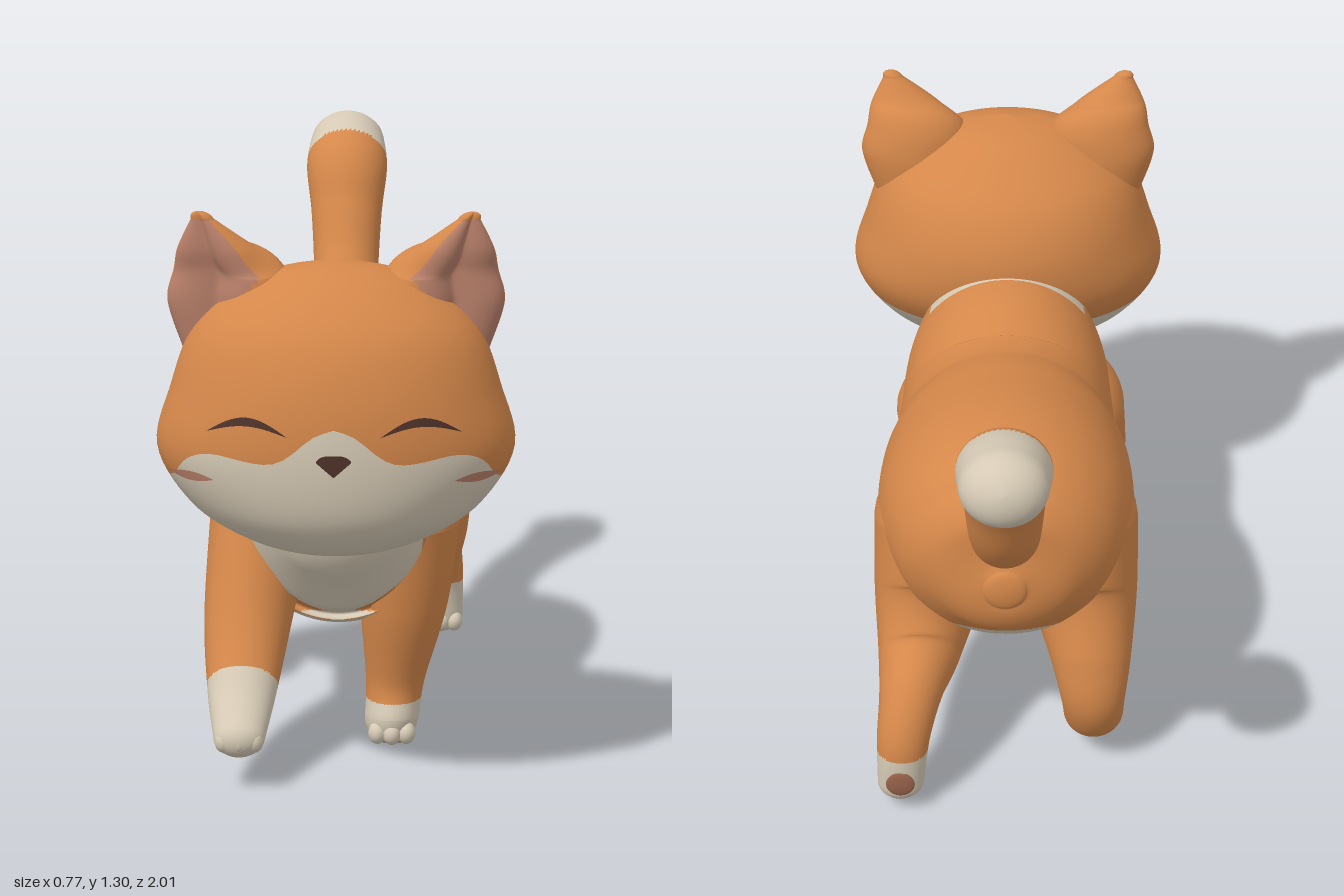
import * as THREE from 'three';

const flat = (name, color) => Object.assign(new THREE.MeshStandardMaterial({ color }), { name });
const orange = flat('orange fur', 0xd4874a);
const cream = flat('cream fur', 0xd6cab5);
const pink = flat('inner ear pink', 0xb9806a);
const dark = flat('dark brown', 0x4e332a);
const brown = flat('paw pad brown', 0x96614a);

// Smooth interpolation through rows of numbers, s from 0 to 1
function spline(rows, s) {
  const n = rows.length - 1;
  const f = THREE.MathUtils.clamp(s, 0, 1) * n;
  const i = Math.min(Math.floor(f), n - 1);
  const t = f - i;
  const p = (k) => rows[THREE.MathUtils.clamp(i + k, 0, n)];
  return rows[0].map((_, c) => {
    const [a, b, d, e] = [p(-1)[c], p(0)[c], p(1)[c], p(2)[c]];
    return b + 0.5 * t * (d - a + t * (2 * a - 5 * b + 4 * d - e + t * (3 * (b - d) + e - a)));
  });
}

// Parameter s at which the rising first column reaches v
function paramAt(rows, v) {
  let lo = 0, hi = 1;
  for (let k = 0; k < 24; k++) {
    const mid = (lo + hi) / 2;
    if (spline(rows, mid)[0] < v) lo = mid; else hi = mid;
  }
  return lo;
}
const rowAt = (rows, v) => spline(rows, paramAt(rows, v));

// Smooth skin over closed rings; pick(centre, ring, step) chooses the material of a triangle
function skin(name, rings, mats, pick) {
  const n = rings[0].length;
  const points = rings.flat();
  const lists = mats.map(() => []);
  const add = (j, i, ...tri) => {
    const c = new THREE.Vector3();
    tri.forEach((k) => c.addScaledVector(points[k], 1 / 3));
    lists[pick(c, j, i)].push(...tri);
  };
  for (let j = 0; j < rings.length - 1; j++) {
    for (let i = 0; i < n; i++) {
      const a = j * n + i, b = j * n + (i + 1) % n;
      add(j, i, a, b, b + n);
      add(j, i, a, b + n, a + n);
    }
  }
  const geo = new THREE.BufferGeometry().setFromPoints(points);
  geo.setIndex(lists.flat());
  let start = 0;
  lists.forEach((list, m) => {
    geo.addGroup(start, list.length, m);
    start += list.length;
  });
  geo.computeVertexNormals();
  const mesh = new THREE.Mesh(geo, mats);
  mesh.name = name;
  return mesh;
}

// Round-ended tube through rows of [x, y, z, radius across, other radius]
function limb(name, rows, mats, pick, { cap = 1, shape = () => 1, n = 90, seg = 56 } = {}) {
  const X = new THREE.Vector3(1, 0, 0);
  const rings = [];
  for (let k = -7; k <= n + 7; k++) {
    const s = THREE.MathUtils.clamp(k / n, 0, 1);
    const phi = (k < 0 ? k / 7 : k > n ? (k - n) / 7 : 0) * Math.PI / 2;
    const [x, y, z, rx, rn] = spline(rows, s);
    const T = new THREE.Vector3(...spline(rows, s + 0.01)).sub(new THREE.Vector3(...spline(rows, s - 0.01))).normalize();
    const N = T.clone().cross(X).normalize();
    const c = new THREE.Vector3(x, y, z).addScaledVector(T, Math.sin(phi) * Math.min(rx, rn) * cap);
    const ring = [];
    for (let i = 0; i < seg; i++) {
      const a = i / seg * Math.PI * 2;
      const r = Math.cos(phi) * shape(a);
      ring.push(c.clone().addScaledVector(X, Math.cos(a) * rx * r).addScaledVector(N, Math.sin(a) * rn * r));
    }
    rings.push(ring);
  }
  return skin(name, rings, mats, pick);
}

// Head outline: [y, half width, back z, front z]
const HZ = 0.73;
const headRows = [
  [0.54, 0, HZ, HZ], [0.55, 0.11, 0.65, 0.85], [0.58, 0.21, 0.6, 0.92], [0.65, 0.315, 0.53, 0.978], [0.77, 0.385, 0.44, 1],
  [0.9, 0.355, 0.42, 0.992], [1.02, 0.31, 0.465, 0.95], [1.1, 0.23, 0.55, 0.88], [1.15, 0.13, 0.63, 0.805], [1.172, 0, HZ, HZ],
];
// Edge of the cream muzzle: [angle from the front, y]
const muzzleEdge = [[0, 0.855], [0.12, 0.838], [0.34, 0.78], [0.71, 0.79], [0.92, 0.775], [1.2, 0.725], [1.6, 0.713], [3.15, 0.69]];

function makeHead() {
  const seg = 112, low = 26, high = 36;
  const edges = Array.from({ length: seg }, (_, i) => {
    const a = i / seg * Math.PI * 2;
    return paramAt(headRows, rowAt(muzzleEdge, Math.min(a, 2 * Math.PI - a))[1]);
  });
  const rings = [];
  for (let j = 0; j <= low + high; j++) {
    rings.push(edges.map((e, i) => {
      const a = i / seg * Math.PI * 2;
      const s = j <= low ? e * j / low : e + (1 - e) * (j - low) / high;
      const [y, w, zb, zf] = spline(headRows, s);
      const c = Math.cos(a);
      return new THREE.Vector3(w * Math.sin(a), y, HZ + c * (c > 0 ? zf - HZ : HZ - zb));
    }));
  }
  return skin('head', rings, [cream, orange], (c, j) => (j < low ? 0 : 1));
}

// Thin painted patch lying on the front of the head
function decal(name, x0, x1, lower, upper, mat) {
  const geo = new THREE.PlaneGeometry(1, 1, 24, 3);
  const p = geo.attributes.position;
  for (let i = 0; i < p.count; i++) {
    const t = p.getX(i) + 0.5;
    const x = THREE.MathUtils.lerp(x0, x1, t);
    const y = THREE.MathUtils.lerp(lower(t), upper(t), p.getY(i) + 0.5);
    const [, w, , zf] = rowAt(headRows, y);
    const z = (zf - HZ) * Math.sqrt(Math.max(0, 1 - (x / w) ** 2));
    p.setXYZ(i, x * 1.012, y, HZ + z * 1.012);
  }
  geo.computeVertexNormals();
  const mesh = new THREE.Mesh(geo, mat);
  mesh.name = name;
  return mesh;
}

function ellipsoid(name, [x, y, z], [sx, sy, sz], mat, tilt) {
  const mesh = new THREE.Mesh(new THREE.SphereGeometry(1, 20, 14), mat);
  mesh.name = name;
  mesh.position.set(x, y, z);
  mesh.scale.set(sx, sy, sz);
  mesh.rotation.x = tilt;
  return mesh;
}

// Leg with cream paw, three toes and a sole pad; toe and pad are [y, z]
function makeLeg(name, rows, isPaw, toe, pad, tilt) {
  const leg = new THREE.Group();
  leg.name = name;
  const x = rows[rows.length - 1][0];
  leg.add(limb(name + 'Skin', rows, [orange, cream], (c) => (isPaw(c) ? 1 : 0), { n: 110 }));
  for (const k of [-1, 0, 1]) {
    leg.add(ellipsoid('toe', [x + k * 0.033, toe[0], toe[1] - Math.abs(k) * 0.008], [0.021, 0.026, 0.026], cream, 0));
  }
  leg.add(ellipsoid('pawPad', [x, ...pad], [0.034, 0.007, 0.034], brown, tilt));
  return leg;
}

function makeLegs() {
  const leftFront = [[0.155, 0.52, 0.4, 0.12, 0.145], [0.148, 0.33, 0.4, 0.1, 0.112],
    [0.13, 0.15, 0.386, 0.068, 0.078], [0.122, 0.06, 0.395, 0.062, 0.084]];
  const rightFront = [[-0.17, 0.55, 0.38, 0.12, 0.15], [-0.2, 0.33, 0.51, 0.1, 0.105],
    [-0.21, 0.19, 0.64, 0.077, 0.067], [-0.212, 0.114, 0.745, 0.057, 0.045]];
  const thigh = (s) => [[0.17 * s, 0.58, -0.13, 0.14, 0.24], [0.18 * s, 0.42, -0.2, 0.13, 0.19]];
  const leftHind = [...thigh(1), [0.2, 0.315, -0.31, 0.1, 0.115], [0.22, 0.265, -0.415, 0.075, 0.082],
    [0.238, 0.18, -0.478, 0.062, 0.06], [0.245, 0.065, -0.488, 0.055, 0.047]];
  const rightHind = [...thigh(-1), [-0.2, 0.29, -0.31, 0.095, 0.1], [-0.207, 0.19, -0.335, 0.075, 0.072],
    [-0.21, 0.1, -0.27, 0.07, 0.064], [-0.21, 0.055, -0.145, 0.06, 0.047]];
  return [
    makeLeg('leftFrontLeg', leftFront, (c) => c.y < 0.105, [0.035, 0.46], [0.004, 0.395], 0),
    makeLeg('rightFrontLeg', rightFront, (c) => c.z * 0.8 - c.y * 0.6 > 0.386, [0.108, 0.764], [0.1, 0.665], 0.64),
    makeLeg('leftHindLeg', leftHind, (c) => c.y < 0.155, [0.05, -0.456], [0.09, -0.538], Math.PI / 2),
    makeLeg('rightHindLeg', rightHind, (c) => c.z - c.y > -0.35, [0.042, -0.12], [0.008, -0.205], 0),
  ];
}

// Body with cream bib and belly: [centre y, z, half width, half height]
function makeBody() {
  const rows = [
    [0.6, -0.462, 0.05, 0.05], [0.6, -0.43, 0.155, 0.15], [0.61, -0.35, 0.245, 0.235], [0.617, -0.2, 0.295, 0.278],
    [0.58, 0, 0.298, 0.29], [0.553, 0.15, 0.272, 0.284], [0.553, 0.3, 0.262, 0.287], [0.6, 0.44, 0.247, 0.29],
    [0.598, 0.55, 0.205, 0.25], [0.595, 0.63, 0.15, 0.15], [0.6, 0.68, 0.07, 0.06],
  ];
  const paint = ({ x, y, z }) => {
    const bib = z > 0.42 && y > 0.3 && Math.abs(x) < Math.min(0.19, 0.02 + (y - 0.32) * 1.35);
    const belly = z < 0.5 && y < (z < 0.28 ? 0.42 : 0.33);
    return bib || belly ? 1 : 0;
  };
  return limb('body', rows.map((r) => [0, ...r]), [orange, cream], paint, { cap: 0.3, n: 130, seg: 112 });
}

// Tail with cream tip: [centre y, z, half width, half thickness]
function makeTail() {
  const rows = [
    [0.765, -0.36, 0.07, 0.05], [0.785, -0.46, 0.078, 0.068], [0.83, -0.56, 0.078, 0.076], [0.935, -0.665, 0.082, 0.084],
    [1.06, -0.735, 0.09, 0.085], [1.165, -0.8, 0.103, 0.092], [1.213, -0.925, 0.095, 0.085],
  ];
  const paint = (c) => (c.z < -0.81 + 0.3 * (c.y - 1.2) ? 1 : 0);
  return limb('tail', rows.map((r) => [0, ...r]), [orange, cream], paint, { cap: 0.9 });
}

// Ear with a pink hollow facing forward and outward; s is the side
function makeEar(name, s) {
  const seg = 56;
  const rows = [[0.21, 0.98, 0.72, 0.122, 0.085], [0.23, 1.08, 0.725, 0.133, 0.09], [0.228, 1.15, 0.73, 0.12, 0.08],
    [0.255, 1.2, 0.748, 0.082, 0.052], [0.283, 1.262, 0.757, 0.024, 0.018]].map(([x, ...rest]) => [x * s, ...rest]);
  const facing = (a) => Math.max(0, 0.45 * s * Math.cos(a) - 0.9 * Math.sin(a));
  const paint = (c, j, i) => {
    const inside = facing((i + 0.5) / seg * Math.PI * 2) > 0.42;
    return inside && c.y < 1.262 && c.y > 1.3 - c.x * s ? 1 : 0;
  };
  return limb(name, rows, [orange, pink], paint, { shape: (a) => 1 - 0.6 * facing(a) ** 4, seg });
}

export function createModel() {
  const model = new THREE.Group();
  model.name = 'kitten';
  model.add(makeBody(), makeTail(), ...makeLegs(), makeHead());

  // Ears, closed eyes and cheek marks
  const arc = (base, h) => (t) => base + h * Math.sin(Math.PI * t);
  for (const s of [1, -1]) {
    const side = s > 0 ? 'left' : 'right';
    const patch = (name, a, b, lower, upper, mat) =>
      decal(side + name, Math.min(a * s, b * s), Math.max(a * s, b * s), lower, upper, mat);
    model.add(
      makeEar(side + 'Ear', s),
      patch('ClosedEye', 0.095, 0.265, arc(0.838, 0.019), arc(0.838, 0.037), dark),
      patch('CheekMark', 0.25, 0.352, arc(0.734, -0.01), arc(0.734, 0.011), pink),
    );
  }

  // Nose
  const taper = (t) => Math.abs(2 * t - 1);
  model.add(decal('nose', -0.036, 0.036, (t) => 0.755 + 0.032 * taper(t), (t) => 0.802 - 0.012 * taper(t) ** 4, dark));

  return model;
}
